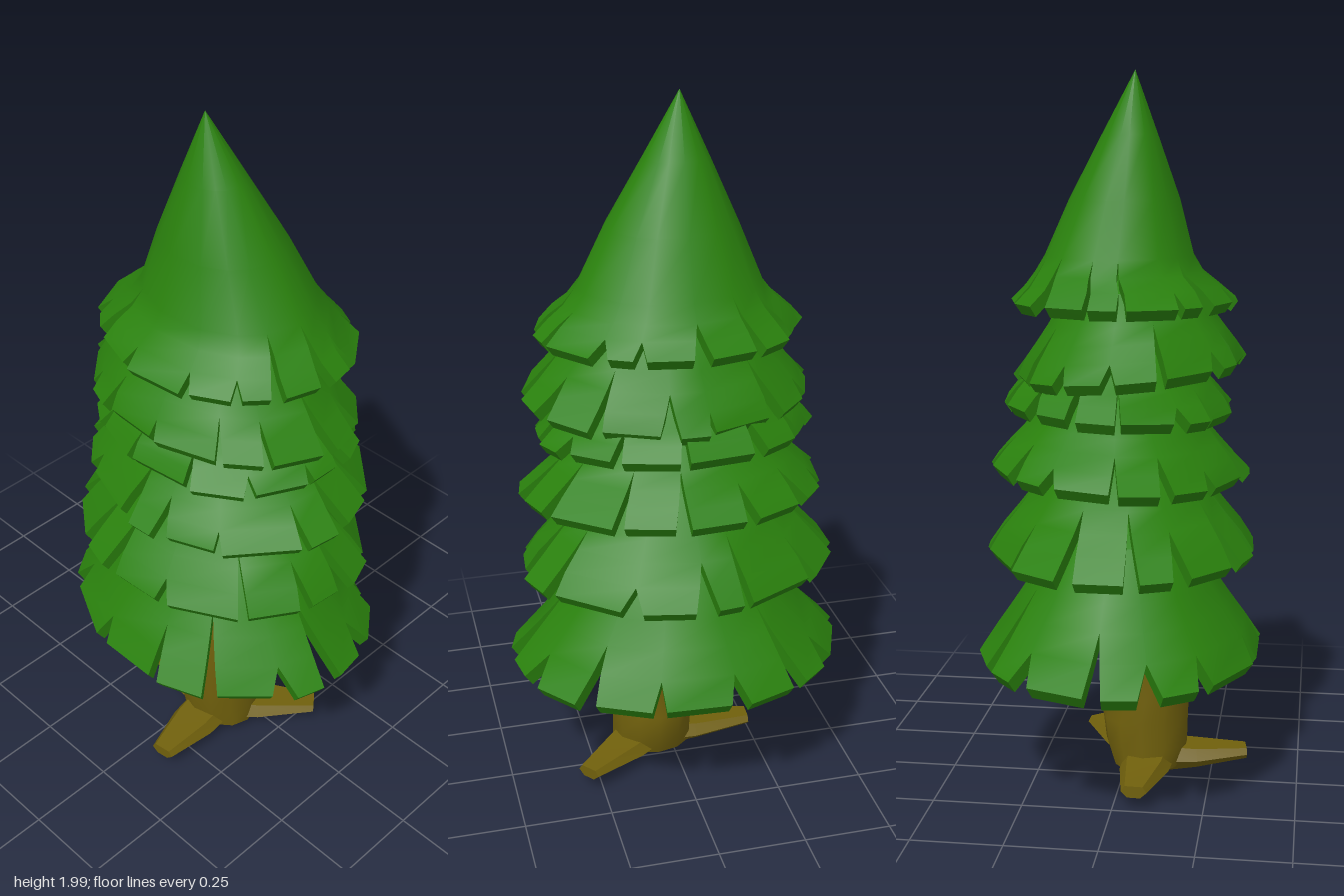
import * as THREE from 'three';
import { toCreasedNormals } from 'three/addons/utils/BufferGeometryUtils.js';

const green = new THREE.MeshStandardMaterial({ color: 0x2a810d });
const brown = new THREE.MeshStandardMaterial({ color: 0x70600c });

function seeded(seed) {
  return () => (seed = (seed * 16807) % 2147483647) / 2147483647;
}

// Collects quads and turns them into a geometry with sharp edges kept.
function quadBuilder() {
  const pos = [];
  const tri = (a, b, c) => {
    const area = b.clone().sub(a).cross(c.clone().sub(a)).length();
    if (area > 1e-8) for (const p of [a, b, c]) pos.push(p.x, p.y, p.z);
  };
  return {
    quad(a, b, c, d) { tri(a, b, c); tri(a, c, d); },
    build(crease) {
      const g = new THREE.BufferGeometry();
      g.setAttribute('position', new THREE.Float32BufferAttribute(pos, 3));
      return toCreasedNormals(g, crease);
    },
  };
}

// A thick skirt of needles: rows run from rim to top as [y, rx, rz, cx, cz],
// and V-shaped notches split its lower rows into fronds.
function skirt(name, rows, { seed, count = 14, offset = 0, tilt = 0, thick = 0.028, gap = 0.07 }) {
  const rnd = seeded(seed);
  const step = (Math.PI * 2) / count;
  const notches = [];
  for (let i = 0; i < count; i++) {
    notches.push({
      angle: offset + step * (i + (i ? (rnd() - 0.5) * 0.45 : 0)),
      depth: 1 + Math.floor(rnd() * 3),
      width: gap * (0.35 + rnd() * 0.8),
    });
  }
  notches[0].depth = 3;
  notches[0].width = gap;
  const b = quadBuilder();
  for (let i = 0; i < count; i++) {
    const n0 = notches[i], n1 = notches[(i + 1) % count];
    const end = n1.angle + (i === count - 1 ? Math.PI * 2 : 0);
    const stretch = 0.95 + rnd() * 0.06;
    const open = (n, r) => n.width * Math.max(0, 1 - r / n.depth);
    const point = (a, r, inner) => {
      const [y, rx, rz, cx, cz] = rows[r];
      const k = r === 0 ? stretch : 1;
      const inset = inner ? thick * 0.7 : 0;
      const x = cx + Math.max(0, rx * k - inset) * Math.sin(a);
      const z = cz + Math.max(0, rz * k - inset) * Math.cos(a);
      return new THREE.Vector3(x, y + tilt * x - (inner ? thick : 0), z);
    };
    const ring = rows.map((_, r) => {
      const a0 = n0.angle + open(n0, r), a1 = end - open(n1, r);
      return [point(a0, r), point(a1, r), point(a0, r, true), point(a1, r, true)];
    });
    const [o0, o1, i0, i1] = ring[0];
    b.quad(o0, i0, i1, o1);
    for (let r = 0; r < rows.length - 1; r++) {
      const [p0, p1, q0, q1] = ring[r], [P0, P1, Q0, Q1] = ring[r + 1];
      b.quad(p0, p1, P1, P0);
      b.quad(q1, q0, Q0, Q1);
      if (r < n0.depth) b.quad(p0, P0, Q0, q0);
      if (r < n1.depth) b.quad(p1, q1, Q1, P1);
    }
  }
  const mesh = new THREE.Mesh(b.build(0.62), green);
  mesh.name = name;
  return mesh;
}

// Rows for a flared tier that closes inside the tier above it.
function tierRows(rim, rx, rz, top, rxTop, rzTop, cx, cz) {
  const rows = [];
  for (const t of [0, 0.22, 0.42, 0.62, 1]) {
    const f = (1 - t) ** 1.15;
    rows.push([rim + (top - rim) * t, rxTop + (rx - rxTop) * f, rzTop + (rz - rzTop) * f, cx, cz]);
  }
  rows.push([top + 0.09, 0, 0, cx, cz]);
  return rows;
}

// Closed loft through loops of equally many points.
function loft(name, loops, material, crease) {
  const b = quadBuilder();
  const n = loops[0].length;
  const mid = (l) => l.reduce((s, p) => s.add(p), new THREE.Vector3()).divideScalar(n);
  const end = loops[loops.length - 1];
  const first = mid(loops[0]), last = mid(end);
  for (let i = 0; i < n; i++) {
    const j = (i + 1) % n;
    for (let r = 0; r < loops.length - 1; r++) {
      b.quad(loops[r][i], loops[r][j], loops[r + 1][j], loops[r + 1][i]);
    }
    b.quad(first, loops[0][j], loops[0][i], first);
    b.quad(last, end[i], end[j], last);
  }
  const mesh = new THREE.Mesh(b.build(crease), material);
  mesh.name = name;
  return mesh;
}

export function createModel() {
  const tree = new THREE.Group();
  tree.name = 'pineTree';

  // Foliage tiers, lowest first
  const tiers = [
    ['lowestTier', tierRows(0.41, 0.405, 0.478, 0.74, 0.19, 0.22, 0, 0), { seed: 11, offset: -0.07, gap: 0.085, thick: 0.033 }],
    ['secondTier', tierRows(0.705, 0.385, 0.455, 0.96, 0.19, 0.23, 0, 0), { seed: 237, offset: 0.12 }],
    ['thirdTier', tierRows(0.93, 0.36, 0.43, 1.13, 0.19, 0.23, 0.01, 0.01), { seed: 3571, offset: 0.04, tilt: 0.05 }],
    ['fourthTier', tierRows(1.105, 0.33, 0.39, 1.28, 0.18, 0.22, 0.01, 0.01), { seed: 4243, offset: 0.16, tilt: 0.05 }],
    ['fifthTier', tierRows(1.205, 0.325, 0.4, 1.42, 0.18, 0.22, -0.02, 0.02), { seed: 5903, offset: -0.02, tilt: -0.08 }],
  ];
  for (const [name, rows, options] of tiers) tree.add(skirt(name, rows, options));

  // Crown: last skirt rising to the tip
  tree.add(skirt('crown', [
    [1.39, 0.315, 0.37, 0, 0.02],
    [1.43, 0.27, 0.325, 0, 0.02],
    [1.465, 0.235, 0.285, 0.01, 0.02],
    [1.51, 0.208, 0.25, 0.01, 0.02],
    [1.66, 0.154, 0.18, -0.005, 0.01],
    [1.83, 0.078, 0.09, -0.02, -0.006],
    [2.0, 0, 0, -0.035, -0.02],
  ], { seed: 7717, count: 15, offset: -0.02 }));

  // Gnarled trunk
  const trunk = [[0.04, -0.065, 0.1], [0.1, -0.062, 0.118], [0.18, -0.058, 0.124], [0.25, -0.07, 0.115],
    [0.33, -0.058, 0.131], [0.42, -0.05, 0.13], [0.55, -0.045, 0.12], [0.72, -0.03, 0.11]];
  tree.add(loft('trunk', trunk.map(([y, cx, r]) => Array.from({ length: 12 }, (_, i) => {
    const a = (i / 12) * Math.PI * 2;
    return new THREE.Vector3(cx + r * Math.sin(a), y, 0.06 + 0.12 * Math.cos(a));
  })), brown, 0.9));

  // Three spreading roots, keeled below and tapering to a blunt end
  const base = new THREE.Vector3(-0.075, 0, 0.06);
  for (const [x, z] of [[-0.35, 0.1], [0.115, 0.29], [-0.06, -0.24]]) {
    const dir = new THREE.Vector3(x, 0, z).sub(base);
    const length = dir.length();
    dir.normalize();
    const side = new THREE.Vector3(dir.z, 0, -dir.x);
    const loops = [[-0.02, 0.075, 0.01, 0.1], [0.13, 0.07, 0.025, 0.085], [length, 0.036, 0.045, 0.078]]
      .map(([d, w, low, high]) => [[-w * 0.5, low], [w * 0.5, low], [w, (low + high) / 2], [w * 0.7, high], [-w * 0.7, high], [-w, (low + high) / 2]]
        .map(([s, y]) => base.clone().addScaledVector(dir, d).addScaledVector(side, s).setY(y)));
    tree.add(loft('root', loops, brown, 0.3));
  }

  // Broken branch stubs under the foliage
  for (const [x, y, z, size, yaw] of [[0.03, 0.54, -0.05, 0.055, 2.36], [-0.1, 0.45, -0.07, 0.022, 3.5]]) {
    const geometry = new THREE.CylinderGeometry(size * 0.7, size, size * 3, 5);
    geometry.rotateX(1.1).rotateY(yaw);
    const stub = new THREE.Mesh(toCreasedNormals(geometry, 0.3), brown);
    stub.position.set(x, y, z);
    stub.name = 'branchStub';
    tree.add(stub);
  }
  return tree;
}
